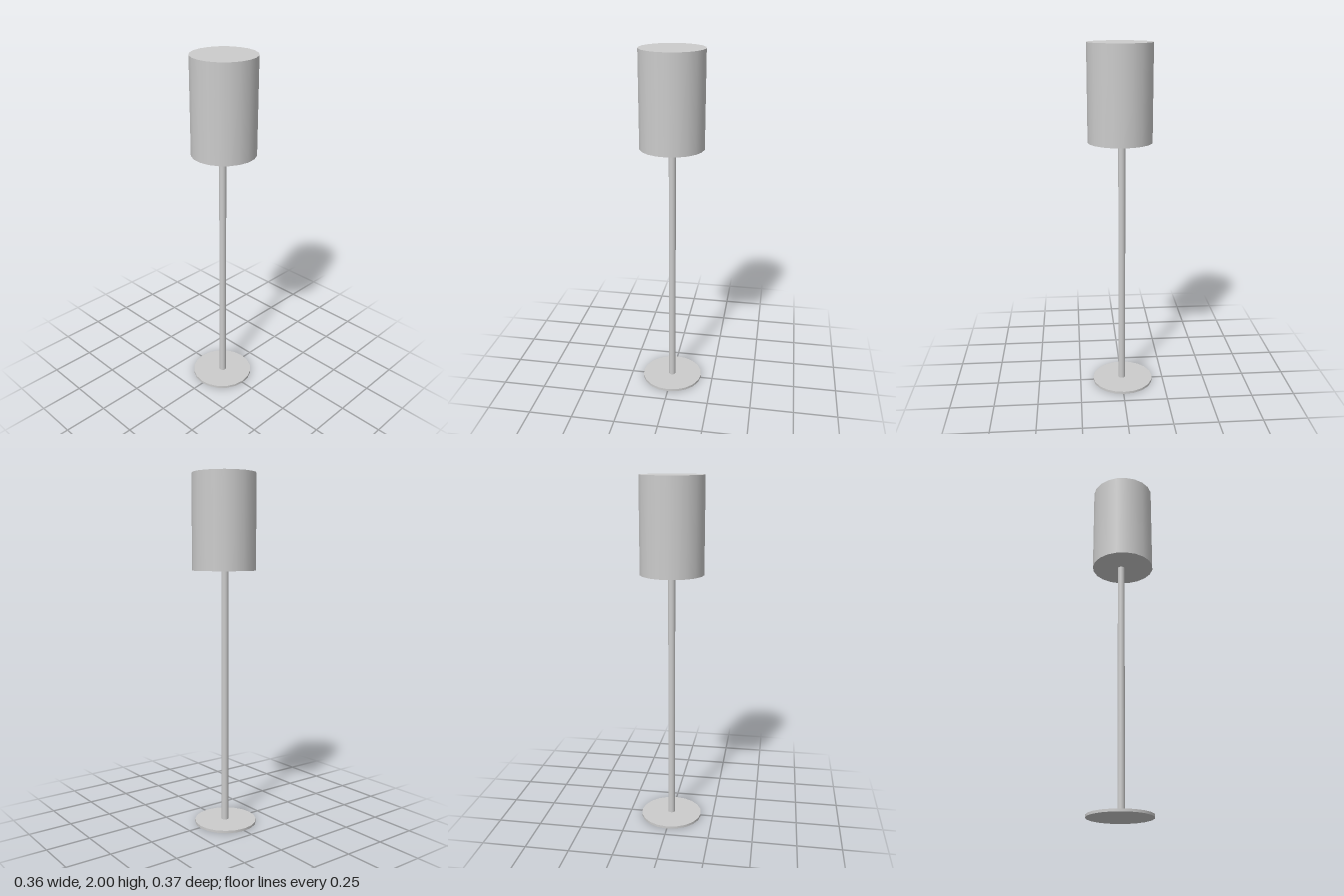
import * as THREE from 'three';

export function createModel() {
  const lamp = new THREE.Group();
  lamp.name = 'floorLamp';
  const material = new THREE.MeshStandardMaterial({ color: 0xcccccc });

  // Upright capped cylinder between two heights
  function addCylinder(name, radius, bottom, top, z) {
    const geometry = new THREE.CylinderGeometry(radius, radius, top - bottom, 20);
    const mesh = new THREE.Mesh(geometry, material);
    mesh.name = name;
    mesh.position.set(0, (bottom + top) / 2, z);
    lamp.add(mesh);
  }

  // Flat disc foot, slim pole, and drum shade set slightly forward
  addCylinder('base', 0.179, 0, 0.014, -0.007);
  addCylinder('pole', 0.02, 0.014, 1.47, -0.002);
  addCylinder('shade', 0.179, 1.468, 2, 0.007);

  return lamp;
}
